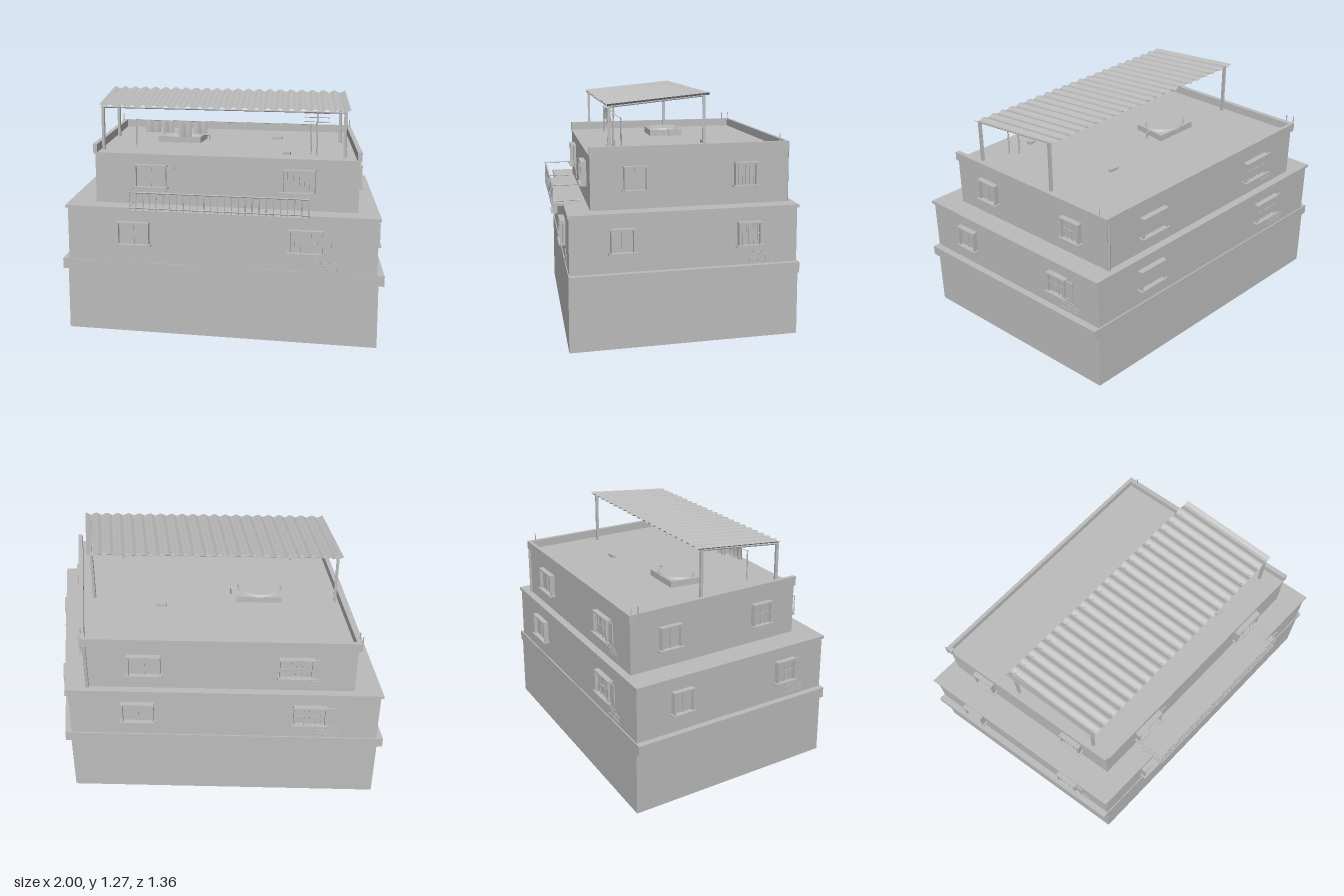
import * as THREE from 'three';

export function createModel() {
  const model = new THREE.Group();
  const plaster = new THREE.MeshStandardMaterial({ color: 0xbcbcbc, side: THREE.DoubleSide });
  plaster.name = 'greyPlaster';

  const add = (name, geo, parent = model) => {
    const m = new THREE.Mesh(geo, plaster);
    m.name = name;
    parent.add(m);
    return m;
  };
  const box = (name, w, h, d, x, y, z, parent) => {
    const m = add(name, new THREE.BoxGeometry(w, h, d), parent);
    m.position.set(x, y, z);
    return m;
  };
  // round bar between two points
  const rod = (name, a, b, r) => {
    const p = new THREE.Vector3(...a), q = new THREE.Vector3(...b);
    const m = add(name, new THREE.CylinderGeometry(r, r, p.distanceTo(q), 8));
    m.position.copy(p).add(q).multiplyScalar(0.5);
    m.quaternion.setFromUnitVectors(new THREE.Vector3(0, 1, 0), q.sub(p).normalize());
    return m;
  };

  // skewed floor plans: back left corner, vector along the back, vector towards the front
  const plan = (o, u, v) => (s, t) => [o[0] + u[0] * s + v[0] * t, o[1] + u[1] * s + v[1] * t];
  const lower = plan([-0.97, -0.55], [1.68, -0.13], [0.26, 1.19]);
  const middle = plan([-0.963, -0.544], [1.668, -0.128], [0.257, 1.178]);
  const upper = plan([-0.82, -0.52], [1.43, -0.11], [0.23, 1.03]);
  const shade = plan([-0.72, -0.11], [1.375, -0.11], [0.12, 0.53]);
  const balcony = plan([-0.365, 0.53], [0.955, -0.077], [0.03, 0.145]);

  // upright block over part of a plan
  const block = (name, P, s0, s1, t0, t1, y0, y1) => {
    const pts = [P(s0, t0), P(s1, t0), P(s1, t1), P(s0, t1)].map(([x, z]) => new THREE.Vector2(x, -z));
    const g = new THREE.ExtrudeGeometry(new THREE.Shape(pts), { depth: y1 - y0, bevelEnabled: false });
    g.rotateX(-Math.PI / 2);
    add(name, g).position.y = y0;
  };

  // storeys, side ledges and slabs
  block('groundFloor', lower, 0, 1, 0, 1, 0, 0.39);
  block('leftViewLedge', lower, -0.018, 0.02, 0, 1, 0.335, 0.39);
  block('rightViewLedge', lower, 0.98, 1.018, 0, 1, 0.335, 0.39);
  block('middleFloor', middle, 0, 1, 0, 1, 0.39, 0.676);
  block('floorSlab', middle, -0.008, 1.008, -0.006, 1.005, 0.675, 0.69);
  block('upperFloor', upper, 0, 1, 0, 1, 0.69, 0.965);
  block('roofEdge', upper, -0.004, 1.004, -0.004, 1.003, 0.955, 0.965);
  // parapet, open at the front
  block('parapetSide', upper, -0.009, 0.008, -0.01, 1.003, 0.962, 1.01);
  block('parapetSide', upper, 0.992, 1.009, -0.01, 1.003, 0.962, 1.01);
  block('parapetBack', upper, -0.009, 1.009, -0.01, 0.008, 0.962, 1.01);

  // group standing on a wall, local x along it and local z outwards
  const corners = { front: [[0, 1], [1, 1]], right: [[1, 1], [1, 0]], back: [[1, 0], [0, 0]], left: [[0, 0], [0, 1]] };
  const onWall = (name, P, face, t, y) => {
    const a = P(...corners[face][0]), b = P(...corners[face][1]);
    const g = new THREE.Group();
    g.name = name;
    g.position.set(a[0] + (b[0] - a[0]) * t, y, a[1] + (b[1] - a[1]) * t);
    g.rotation.y = Math.atan2(a[1] - b[1], b[0] - a[0]);
    model.add(g);
    return g;
  };
  const addWindow = (P, face, t, y, w, { bars, shutter }) => {
    const g = onWall('window', P, face, t, y), h = 0.12, f = 0.008;
    box('pane', w, h, 0.008, 0, 0, 0.004, g);
    for (const s of [-1, 1]) box('jamb', f, h, 0.028, s * (w - f) / 2, 0, 0.014, g);
    box('lintel', w + 0.006, f, 0.03, 0, h / 2, 0.015, g);
    box('sill', w + 0.02, f, 0.036, 0, -h / 2, 0.018, g);
    box('mullion', 0.007, h, 0.014, 0, 0, 0.007, g);
    if (bars) {
      for (const k of [-2, -1, 1, 2]) box('bar', 0.004, h, 0.004, k * w / 6, 0, 0.02, g);
      box('crossBar', w, 0.004, 0.004, 0, 0.005, 0.02, g);
    }
    if (shutter) box('shutter', 0.045, h - 0.008, 0.006, w / 2 + 0.022, 0, 0.012, g);
  };
  // bare bricks where the plaster has fallen away
  const addBricks = (P, face, t, y, rows) => {
    const g = onWall('bareBricks', P, face, t, y);
    for (let r = 0; r < rows; r++) {
      const n = 2 + (r % 2);
      for (let i = 0; i < n; i++) {
        box('brick', 0.04, 0.012, 0.005, (i - (n - 1) / 2) * 0.044 + (r * 0.013) % 0.03, -r * 0.0155, 0.0015, g);
      }
    }
  };
  for (const face of Object.keys(corners)) {
    const w = face === 'front' || face === 'back' ? 0.175 : 0.122;
    const firstShutter = face === 'front';
    addWindow(middle, face, 0.222, 0.55, w, {});
    addWindow(middle, face, 0.778, 0.55, w, { bars: true, shutter: true });
    addWindow(upper, face, 0.22, 0.845, w, { shutter: firstShutter });
    addWindow(upper, face, 0.78, 0.845, w, { bars: true, shutter: face === 'back' });
    addBricks(middle, face, 0.83, 0.455, 4);
  }
  addBricks(upper, 'front', 0.25, 0.765, 4);
  addBricks(upper, 'back', 0.84, 0.76, 3);

  // balcony with railing
  block('balconySlab', balcony, 0, 1, -0.1, 1, 0.678, 0.692);
  const at = (P, s, t, y) => { const [x, z] = P(s, t); return [x, y, z]; };
  for (const y of [0.705, 0.788]) {
    rod('railFront', at(balcony, 0.004, 0.97, y), at(balcony, 0.996, 0.97, y), 0.004);
    for (const s of [0.004, 0.996]) rod('railSide', at(balcony, s, 0, y), at(balcony, s, 0.97, y), 0.003);
  }
  for (let i = 0; i <= 26; i++) {
    const s = 0.004 + 0.992 * i / 26;
    rod('baluster', at(balcony, s, 0.97, 0.69), at(balcony, s, 0.97, 0.788), 0.0028);
  }

  // corrugated canopy, sloping down to the front
  const waves = 22;
  const sheet = new THREE.PlaneGeometry(1, 1, waves * 6, 1);
  const pos = sheet.attributes.position;
  for (let i = 0; i < pos.count; i++) {
    const s = pos.getX(i) + 0.5, t = 0.5 - pos.getY(i);
    const [x, z] = shade(s, t);
    pos.setXYZ(i, x, 1.259 - 0.05 * t + 0.007 * Math.cos(s * waves * 2 * Math.PI), z);
  }
  sheet.computeVertexNormals();
  add('canopySheet', sheet);
  const feet = [[-0.585, 0.4, 1.205], [0.745, 0.3, 1.205], [0.635, -0.19, 1.253], [-0.69, -0.085, 1.253]];
  feet.forEach(([x, z, h], i) => {
    box('canopyPost', 0.015, h - 0.96, 0.015, x, (h + 0.96) / 2, z);
    const [x2, z2, h2] = feet[(i + 1) % 4];
    rod('canopyBeam', [x, h - 0.004, z], [x2, h2 - 0.004, z2], 0.005);
  });

  // washing line
  const skew = 0.077;
  const lineZ = (x) => 0.277 - skew * x;
  for (const x of [-0.425, 0.55]) rod('linePole', [x, 0.96, lineZ(x)], [x, 1.13, lineZ(x)], 0.004);
  rod('washingLine', [-0.425, 1.125, lineZ(-0.425)], [0.55, 1.125, lineZ(0.55)], 0.0012);
  for (const [x, w, h] of [[-0.327, 0.085, 0.068], [-0.242, 0.065, 0.068], [-0.147, 0.075, 0.09], [-0.058, 0.075, 0.068]]) {
    const cloth = new THREE.PlaneGeometry(w, h, 10, 4);
    const p = cloth.attributes.position;
    for (let i = 0; i < p.count; i++) {
      p.setZ(i, 0.008 * Math.sin(p.getX(i) * 150) * (0.5 - p.getY(i) / h));
    }
    cloth.computeVertexNormals();
    const m = add('laundry', cloth);
    m.position.set(x, 1.125 - h / 2, lineZ(x));
    m.rotation.y = skew;
  }

  // aerial
  rod('aerialMast', [0.59, 0.96, 0.275], [0.59, 1.2, 0.275], 0.004);
  [1.19, 1.168, 1.145].forEach((y) => rod('aerialArm', [0.52, y, 0.28], [0.655, y, 0.27], 0.0025));

  // roof hatch with round lid and pipe
  box('hatchBase', 0.25, 0.035, 0.19, -0.27, 0.982, -0.045).rotation.y = skew;
  const lid = add('hatchLid', new THREE.CylinderGeometry(0.115, 0.125, 0.012, 32));
  lid.position.set(-0.27, 1.004, -0.045);
  lid.scale.z = 0.78;
  rod('hatchPipe', [-0.115, 0.96, -0.07], [-0.115, 1.0, -0.07], 0.005);
  rod('hatchPipe', [-0.115, 1.0, -0.07], [-0.16, 1.0, -0.066], 0.005);

  // loose bricks, corner rods and drainpipe
  box('looseBrick', 0.055, 0.018, 0.02, 0.255, 0.972, -0.23).rotation.y = skew;
  box('looseBrick', 0.04, 0.018, 0.025, 0.43, 0.972, 0.295).rotation.y = skew;
  for (const [x, z] of [[-0.822, -0.48], [-0.836, -0.52], [0.625, -0.59]]) {
    rod('cornerRod', [x, 0.96, z], [x, 1.048, z], 0.003);
  }
  rod('drainpipe', [0.603, 0.69, -0.634], [0.603, 0.96, -0.634], 0.009);

  return model;
}
